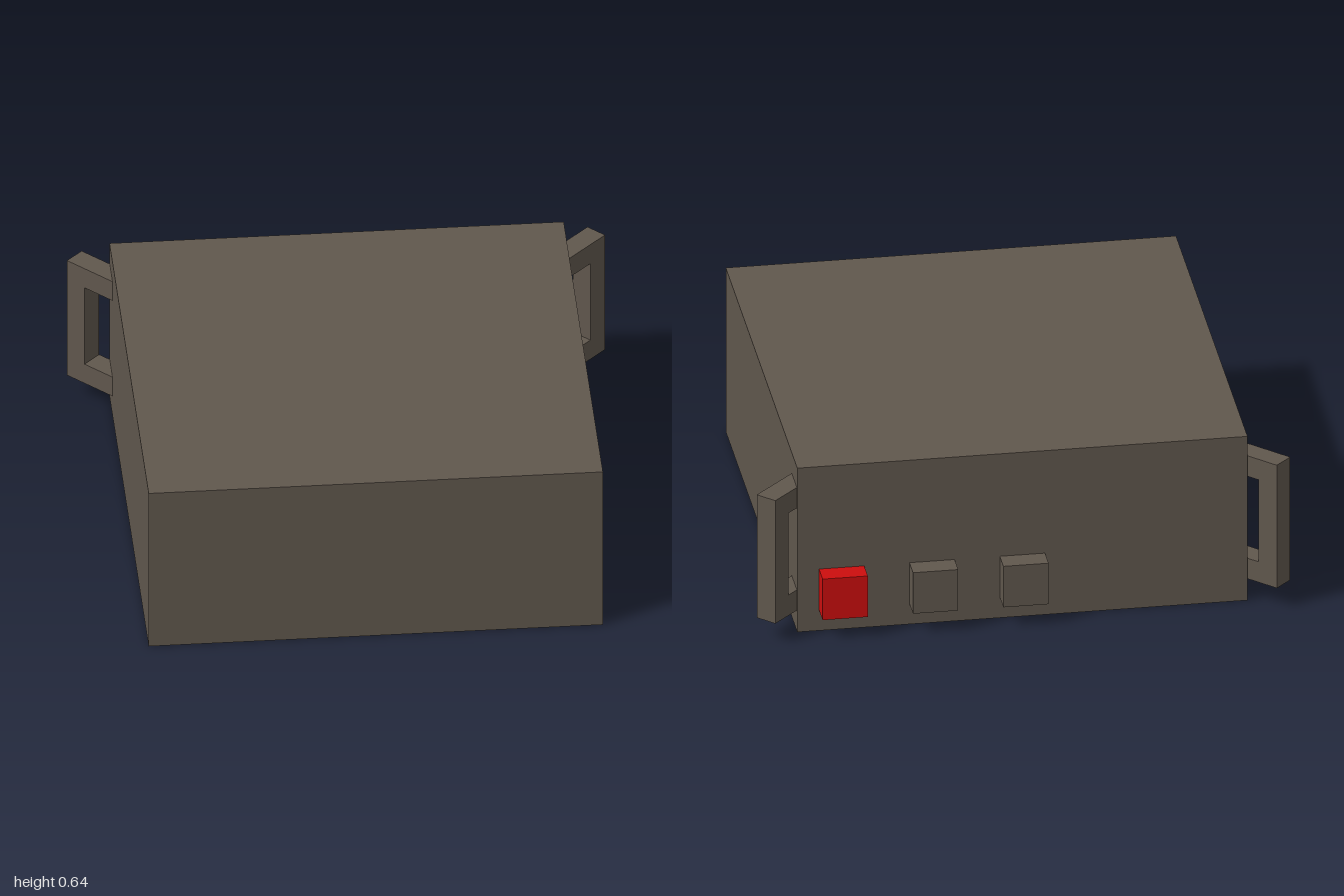
import * as THREE from 'three';

export function createModel() {
  const casing = new THREE.MeshStandardMaterial({ color: 0x60574d });
  casing.name = 'casingBrown';
  const red = new THREE.MeshStandardMaterial({ color: 0xcc0e0e });
  red.name = 'buttonRed';

  const SIZE = 1.594, HEIGHT = 0.64, BAR = 0.08;
  const model = new THREE.Group();
  model.name = 'controlBox';

  // The whole unit stands turned ten degrees
  const unit = new THREE.Group();
  unit.name = 'unit';
  unit.position.set(0.0725, 0, 0.045);
  unit.rotation.y = THREE.MathUtils.degToRad(10);
  model.add(unit);

  const addBox = (name, material, w, h, d, x, y, z) => {
    const mesh = new THREE.Mesh(new THREE.BoxGeometry(w, h, d), material);
    mesh.name = name;
    mesh.position.set(x, y, z);
    unit.add(mesh);
  };

  // Body
  addBox('body', casing, SIZE, HEIGHT, SIZE, 0, HEIGHT / 2, 0);

  // Row of buttons along the foot of the rear face
  [['redButton', red, 0.64], ['middleButton', casing, 0.32], ['endButton', casing, 0]].forEach(
    ([name, material, x]) => addBox(name, material, 0.16, 0.16, 0.16, x, 0.16, -SIZE / 2)
  );

  // U-shaped handles set diagonally at the rear corners, arms sunk into the body
  const depth = 0.24, half = 0.24, inner = half - BAR;
  const outline = new THREE.Shape([
    [0, -half], [depth, -half], [depth, -inner], [BAR, -inner],
    [BAR, inner], [depth, inner], [depth, half], [0, half],
  ].map(([x, y]) => new THREE.Vector2(x, y)));
  const handleGeometry = new THREE.ExtrudeGeometry(outline, { depth: BAR, bevelEnabled: false });
  handleGeometry.translate(0, 0, -BAR / 2);

  for (const side of [-1, 1]) {
    const handle = new THREE.Mesh(handleGeometry, casing);
    handle.name = side < 0 ? 'rightHandle' : 'leftHandle';
    handle.position.set(side * 0.916, HEIGHT / 2, -0.85);
    handle.rotation.y = side < 0 ? -Math.PI / 4 : -Math.PI * 0.75;
    unit.add(handle);
  }

  return model;
}
